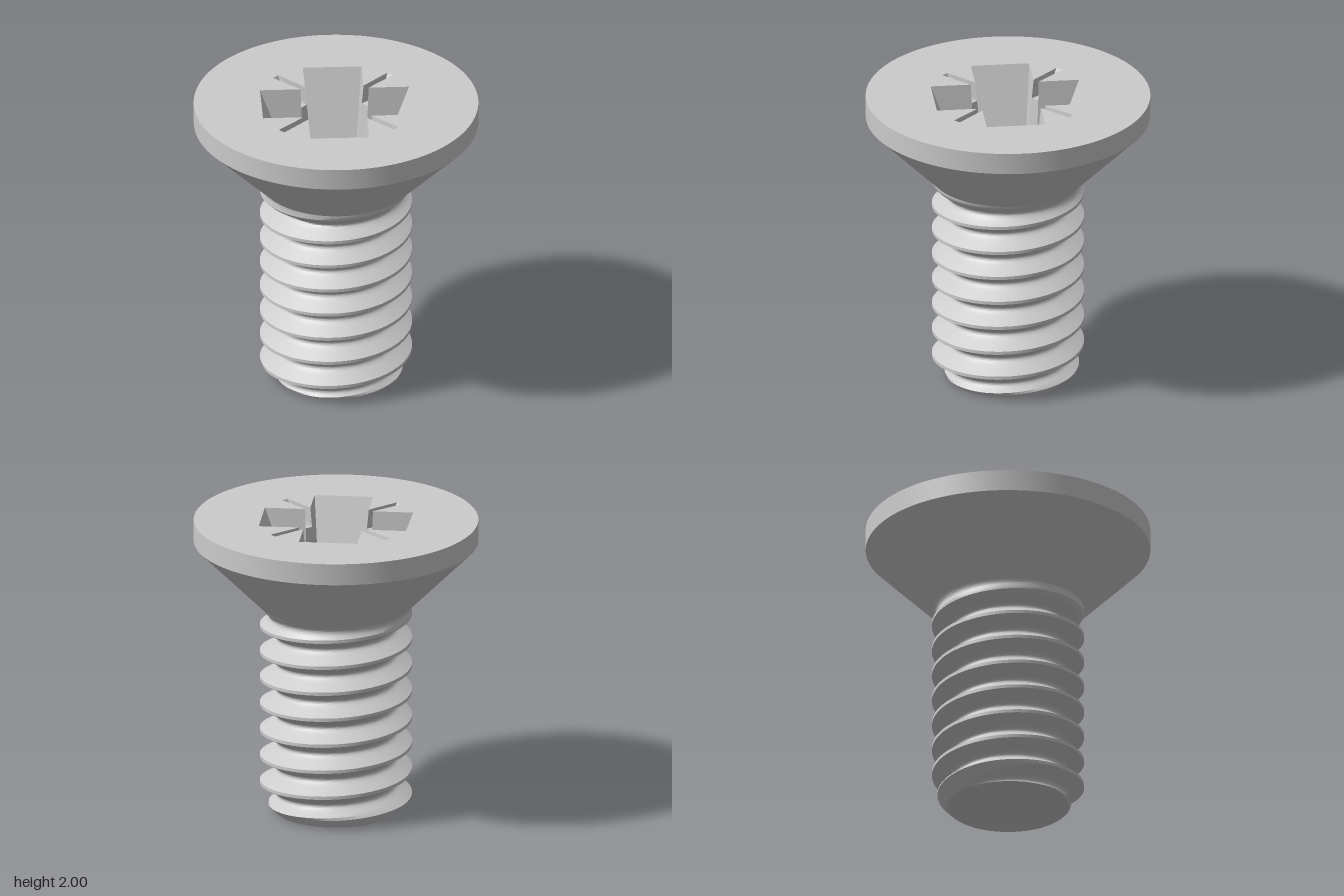
import * as THREE from 'three';
import { toCreasedNormals } from 'three/addons/utils/BufferGeometryUtils.js';

const SEG = 96;
const TOP = 2, NECK = 1.42, HEAD_R = 0.935, SHANK_R = 0.5;
const PITCH = 0.18, FIRST_CREST = 0.1;
const FLOOR = 1.5, SLOT_FLOOR = 1.87;

const clamp = THREE.MathUtils.clamp;
const metal = new THREE.MeshStandardMaterial({ color: 0xcccccc });
const recessMetal = new THREE.MeshStandardMaterial({ color: 0xcccccc, side: THREE.DoubleSide, flatShading: true });

function part(name, geometry, material = metal) {
  const mesh = new THREE.Mesh(geometry, material);
  mesh.name = name;
  return mesh;
}

function fromPositions(positions) {
  const g = new THREE.BufferGeometry();
  g.setAttribute('position', new THREE.Float32BufferAttribute(positions, 3));
  g.computeVertexNormals();
  return g;
}

// Radius of the thread at height y and turn angle a: 60 degree flanks,
// flat crest, rounded root, run-out below the head and a chamfered tip.
function threadRadius(y, a) {
  const u = (y - FIRST_CREST) / PITCH - a / (2 * Math.PI);
  const t = Math.abs(u - Math.round(u)) * PITCH;
  const slope = Math.sqrt(3), w = 0.031, fromRoot = PITCH / 2 - t;
  let r = SHANK_R - slope * Math.max(0, t - 0.011);
  if (fromRoot < w) r = 0.39 + (slope * fromRoot * fromRoot) / (2 * w);
  r = SHANK_R - (SHANK_R - r) * clamp((NECK - y) / 0.13, 0, 1);
  return Math.min(r, 0.4 + y);
}

// Rows follow the helix and are trimmed at the tip and the neck.
function threadGeometry() {
  const half = [0.011, 0.03, 0.045, 0.059, 0.067, 0.075, 0.083];
  const steps = [...half.map(t => -t).reverse(), ...half, PITCH / 2];
  const rows = [];
  for (let k = -2; k < 9; k++) for (const t of steps) rows.push(FIRST_CREST + k * PITCH + t);
  const point = (i, j) => {
    const a = (i / SEG) * 2 * Math.PI;
    const y = clamp(rows[j] + (a / (2 * Math.PI)) * PITCH, 0, NECK);
    const r = threadRadius(y, a);
    return new THREE.Vector3(-Math.cos(a) * r, y, Math.sin(a) * r);
  };
  const out = [];
  const tri = new THREE.Triangle();
  const add = (a, b, c) => {
    tri.set(a, b, c);
    if (tri.getArea() > 1e-9) for (const p of [a, b, c]) out.push(p.x, p.y, p.z);
  };
  for (let i = 0; i < SEG; i++) {
    for (let j = 0; j < rows.length - 1; j++) {
      const a = point(i, j), b = point(i + 1, j), c = point(i + 1, j + 1), d = point(i, j + 1);
      add(a, b, c);
      add(a, c, d);
    }
  }
  return toCreasedNormals(fromPositions(out), 0.6);
}

function tipGeometry() {
  const out = [];
  for (let i = 0; i < SEG; i++) {
    const a = (i / SEG) * 2 * Math.PI, b = ((i + 1) / SEG) * 2 * Math.PI;
    const ra = threadRadius(0, a), rb = threadRadius(0, b);
    out.push(0, 0, 0, -Math.cos(b) * rb, 0, Math.sin(b) * rb, -Math.cos(a) * ra, 0, Math.sin(a) * ra);
  }
  return fromPositions(out);
}

// Repeats a list of [x, z] corners for all four quarters of the recess.
const turn = ([x, z], q) => [[x, z], [-z, x], [-x, -z], [z, -x]][q];
const allQuarters = pts => [0, 1, 2, 3].flatMap(q => pts.map(p => new THREE.Vector2(...turn(p, q))));

// Outline of one quarter: arm end, slot, and the start of the next arm.
const topArm = [0.49, 0.193], topIn = [0.224, 0.193], slotTop = [0.395, 0.36];
const lowArm = [0.3, 0.147], lowIn = [0.205, 0.147], slotLow = [0.335, 0.315];
const swap = ([x, z]) => [z, x];

function topGeometry() {
  const shape = new THREE.Shape().absarc(0, 0, HEAD_R, 0, 2 * Math.PI, false);
  const rim = [topArm, topIn, slotTop];
  shape.holes.push(new THREE.Path(allQuarters([...rim, ...rim.map(swap).reverse()])));
  return new THREE.ShapeGeometry(shape, SEG).rotateX(-Math.PI / 2).translate(0, TOP, 0);
}

function recessFloorGeometry() {
  const shape = new THREE.Shape(allQuarters([lowArm, lowIn, swap(lowIn), swap(lowArm)]));
  shape.holes.push(new THREE.Path().absarc(0, 0, 0.247, 0, 2 * Math.PI, true));
  return new THREE.ShapeGeometry(shape, 48).rotateX(-Math.PI / 2).translate(0, FLOOR, 0);
}

function recessWallGeometry() {
  const out = [];
  const f = (TOP - SLOT_FLOOR) / (TOP - FLOOR);
  const mouth = topIn.map((v, i) => v + (lowIn[i] - v) * f);
  const mirrorZ = ([x, z]) => [x, -z];
  for (let q = 0; q < 4; q++) {
    const quad = (...corners) => {
      const p = corners.map(([xz, y]) => {
        const [x, z] = turn(xz, q);
        return [x, y, z];
      });
      out.push(...p[0], ...p[1], ...p[2], ...p[0], ...p[2], ...p[3]);
    };
    // arm end
    quad([mirrorZ(topArm), TOP], [topArm, TOP], [lowArm, FLOOR], [mirrorZ(lowArm), FLOOR]);
    // arm sides
    quad([topArm, TOP], [topIn, TOP], [lowIn, FLOOR], [lowArm, FLOOR]);
    quad([mirrorZ(topIn), TOP], [mirrorZ(topArm), TOP], [mirrorZ(lowArm), FLOOR], [mirrorZ(lowIn), FLOOR]);
    // inner corner below the slot
    quad([mouth, SLOT_FLOOR], [swap(mouth), SLOT_FLOOR], [swap(lowIn), FLOOR], [lowIn, FLOOR]);
    // narrow diagonal slot: floor, end and sides
    quad([mouth, SLOT_FLOOR], [slotLow, SLOT_FLOOR], [swap(slotLow), SLOT_FLOOR], [swap(mouth), SLOT_FLOOR]);
    quad([slotTop, TOP], [swap(slotTop), TOP], [swap(slotLow), SLOT_FLOOR], [slotLow, SLOT_FLOOR]);
    quad([topIn, TOP], [slotTop, TOP], [slotLow, SLOT_FLOOR], [mouth, SLOT_FLOOR]);
    quad([swap(slotTop), TOP], [swap(topIn), TOP], [swap(mouth), SLOT_FLOOR], [swap(slotLow), SLOT_FLOOR]);
  }
  return fromPositions(out);
}

export function createModel() {
  const screw = new THREE.Group();
  screw.name = 'countersunkScrew';

  // Head: cone and straight rim
  const profile = [[SHANK_R, NECK], [HEAD_R, 1.855], [HEAD_R, TOP]].map(p => new THREE.Vector2(...p));
  const head = new THREE.Group();
  head.name = 'head';
  head.add(part('headSide', toCreasedNormals(new THREE.LatheGeometry(profile, SEG), 0.5)));
  head.add(part('headTop', topGeometry()));

  // Cross-shaped driver recess with a conical centre
  const recess = new THREE.Group();
  recess.name = 'driveRecess';
  recess.add(part('recessWalls', recessWallGeometry(), recessMetal));
  recess.add(part('recessFloor', recessFloorGeometry(), recessMetal));
  const cone = [new THREE.Vector2(0, FLOOR - 0.13), new THREE.Vector2(0.247, FLOOR)];
  recess.add(part('recessCone', new THREE.LatheGeometry(cone, 48), recessMetal));

  // Threaded shank
  const shank = new THREE.Group();
  shank.name = 'shank';
  shank.add(part('thread', threadGeometry()), part('tip', tipGeometry()));

  screw.add(head, recess, shank);
  return screw;
}
